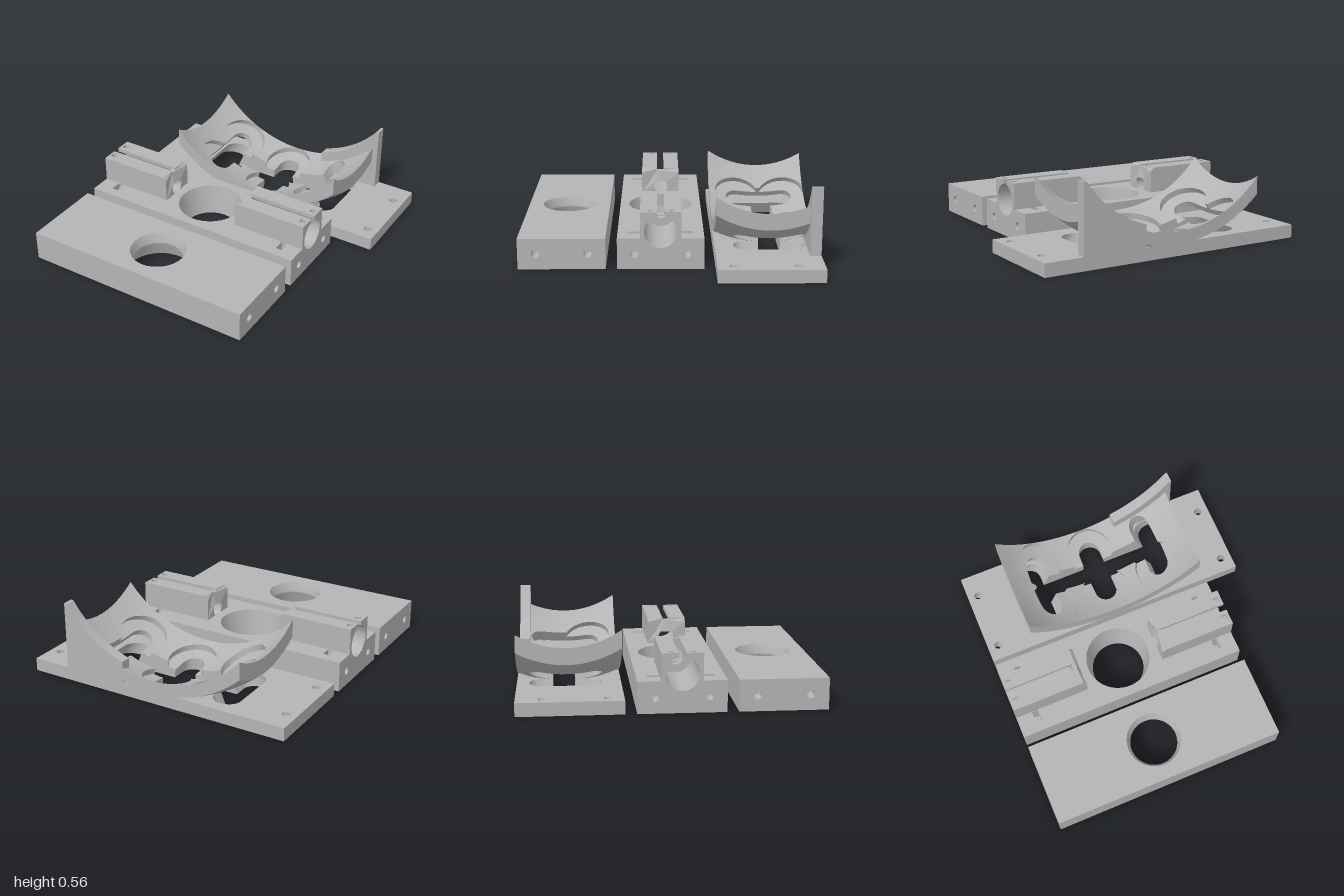
import * as THREE from 'three';
import { toCreasedNormals } from 'three/addons/utils/BufferGeometryUtils.js';

const grey = new THREE.MeshStandardMaterial({ color: 0xb4b4b4, side: THREE.DoubleSide });
grey.name = 'grey';

function add(parent, name, geometry) {
  const mesh = new THREE.Mesh(geometry, grey);
  mesh.name = name;
  parent.add(mesh);
  return mesh;
}

const round = (x, y, r) => new THREE.Path().absarc(x, y, r, 0, Math.PI * 2, true);

// Cross-section mirrored left to right, extruded along x from x0 to x1
function slice(half, x0, x1, holes = []) {
  const other = half.map(([x, y]) => [-x, y]).reverse();
  const points = half.concat(other).map(([x, y]) => new THREE.Vector2(x, y));
  const shape = new THREE.Shape(points);
  shape.holes = holes;
  const g = new THREE.ExtrudeGeometry(shape, { depth: x1 - x0, bevelEnabled: false, curveSegments: 20 });
  return g.rotateY(Math.PI / 2).translate(x0, 0, 0);
}

// Flat plate with an upright round hole that widens from one face to the other
const H = 0.21;
function boredPlate(hx, hz, rBottom, rTop) {
  const shape = new THREE.Shape([[-hx, -hz], [hx, -hz], [hx, hz], [-hx, hz]].map(p => new THREE.Vector2(...p)));
  shape.holes.push(round(0, 0, rTop));
  const g = new THREE.ExtrudeGeometry(shape, { depth: H, bevelEnabled: false, curveSegments: 48 }).rotateX(-Math.PI / 2);
  const p = g.attributes.position;
  for (let i = 0; i < p.count; i++) {
    const r = Math.hypot(p.getX(i), p.getZ(i));
    if (r < rTop + 0.01 && p.getY(i) < 0.01) p.setXYZ(i, p.getX(i) * rBottom / r, 0, p.getZ(i) * rBottom / r);
  }
  g.computeVertexNormals();
  return toCreasedNormals(g, 0.4);
}

const endHoles = z => [round(z, 0.105, 0.027), round(-z, 0.105, 0.027)];

function frontPlate() {
  const g = new THREE.Group();
  g.name = 'frontPlate';
  g.position.set(-0.14, 0, 0.71);
  const hz = 0.29;
  const plain = [[hz, 0], [hz, H]];
  const notched = [[0.13, 0], [0.13, 0.15], [0.215, 0.15], [0.215, 0], [hz, 0], [hz, H]];
  for (const turn of [0, Math.PI]) {
    const end = new THREE.Group();
    end.name = 'plateEnd';
    end.rotation.y = turn;
    add(end, 'screwEnd', slice(plain, 0.71, 0.825, endHoles(0.172)));
    add(end, 'nutSlots', slice(notched, 0.667, 0.71));
    g.add(end);
  }
  add(g, 'plateCentre', boredPlate(0.667, hz, 0.24, 0.19));
  // Stepped lining of the hole
  const lining = [[0.24, 0], [0.19, 0.14], [0.165, 0.14], [0.165, 0.15], [0.19, H]].map(p => new THREE.Vector2(...p));
  add(g, 'holeLining', toCreasedNormals(new THREE.LatheGeometry(lining, 64), 0.4));
  return g;
}

function railPlate() {
  const g = new THREE.Group();
  g.name = 'railPlate';
  g.position.set(-0.14, 0, 0.0575);
  const hz = 0.2875, axis = 0.255, top = 0.39, gap = 0.024;
  // Half of the section: plate, rail block, slot and round bore
  const half = ({ notch, screw, wall }) => {
    const p = [[hz, 0], [hz, H]];
    if (notch) p.push([0.2175, H], [0.2175, 0.06], [0.137, 0.06], [0.137, H]);
    p.push([0.135, H], [0.135, 0.365], [0.135, top]);
    if (screw) p.push([0.088, top], [0.088, 0.36], [0.052, 0.36], [0.052, top]);
    p.push([gap, top]);
    if (wall) return [...p, [gap, 0.378]];
    const a0 = Math.acos(gap / 0.11);
    for (let i = 0; i <= 20; i++) {
      const a = a0 - (a0 + Math.PI / 2 - 0.02) * i / 20;
      p.push([0.11 * Math.cos(a), axis + 0.11 * Math.sin(a)]);
    }
    return p;
  };
  const teardrop = new THREE.Path();
  teardrop.moveTo(0, axis + 0.076);
  teardrop.absarc(0, axis, 0.055, Math.PI * 0.75, Math.PI * 2.25, false);
  teardrop.closePath();
  const screws = () => endHoles(0.175);
  for (const turn of [0, Math.PI]) {
    const rail = new THREE.Group();
    rail.name = 'rail';
    rail.rotation.y = turn;
    add(rail, 'railEnd', slice(half({}), 0.808, 0.825, screws()));
    add(rail, 'railScrewPockets', slice(half({ screw: true }), 0.768, 0.808, screws()));
    add(rail, 'railNeck', slice(half({}), 0.71, 0.768, screws()));
    add(rail, 'railNutSlots', slice(half({ notch: true }), 0.667, 0.71));
    add(rail, 'railBody', slice(half({}), 0.34, 0.667));
    // Inner end wall, its top edge sloped back
    const wall = slice(half({ wall: true }), 0.2875, 0.34, [teardrop]);
    const p = wall.attributes.position;
    for (let i = 0; i < p.count; i++) if (p.getX(i) < 0.29 && p.getY(i) > 0.37) p.setX(i, 0.312);
    wall.computeVertexNormals();
    add(rail, 'railInnerWall', wall);
    g.add(rail);
  }
  add(g, 'plateCentre', boredPlate(0.2875, hz, 0.185, 0.225));
  return g;
}

// Solid sheet over u and z with rounded openings; place(u, z, w) gives the point, w = 1 on top
const Z0 = -1, Z1 = -0.305;
function sheet(uMax, holes, place) {
  const us = [];
  for (let i = 0; i <= 32; i++) us.push(uMax * (i / 16 - 1));
  for (const h of holes) for (let k = 0; k <= 12; k++) us.push(h.u + h.ru * Math.cos(Math.PI * k / 12));
  us.sort((a, b) => a - b);
  const cuts = us.filter((u, i) => Math.abs(u) <= uMax && (i === 0 || u - us[i - 1] > 1e-6));
  const out = [];
  const quad = (p, q, r, s) => out.push(...p, ...q, ...r, ...p, ...r, ...s);
  const span = (h, u) => {
    const e = h.rz * Math.sqrt(Math.max(0, 1 - ((u - h.u) / h.ru) ** 2));
    return [Math.max(Z0, h.lo - e), Math.min(Z1, h.hi + e)];
  };
  // One block between columns a and b, running from z = [a, b] s to e
  const block = (a, b, s, e) => {
    const n = Math.max(1, Math.ceil(Math.max(e[0] - s[0], e[1] - s[1]) / 0.06));
    const P = (side, i, w) => place(side ? b : a, s[side] + (e[side] - s[side]) * i / n, w);
    for (let i = 0; i < n; i++) {
      const j = i + 1;
      quad(P(0, i, 1), P(0, j, 1), P(1, j, 1), P(1, i, 1));
      quad(P(0, i, 0), P(1, i, 0), P(1, j, 0), P(0, j, 0));
      quad(P(0, i, 0), P(0, j, 0), P(0, j, 1), P(0, i, 1));
      quad(P(1, j, 0), P(1, i, 0), P(1, i, 1), P(1, j, 1));
    }
    quad(P(1, 0, 0), P(0, 0, 0), P(0, 0, 1), P(1, 0, 1));
    quad(P(0, n, 0), P(1, n, 0), P(1, n, 1), P(0, n, 1));
  };
  for (let i = 0; i + 1 < cuts.length; i++) {
    const a = cuts[i], b = cuts[i + 1], m = (a + b) / 2;
    const open = holes.filter(h => Math.abs(m - h.u) < h.ru)
      .map(h => ({ a: span(h, a), b: span(h, b), m: span(h, m) })).sort((p, q) => p.m[0] - q.m[0]);
    let s = [Z0, Z0], k = 0;
    while (k < open.length) {
      const lo = [open[k].a[0], open[k].b[0]], hi = [open[k].a[1], open[k].b[1]];
      let end = open[k++].m[1];
      for (; k < open.length && open[k].m[0] < end; k++) {
        const o = open[k];
        lo[0] = Math.min(lo[0], o.a[0]); lo[1] = Math.min(lo[1], o.b[0]);
        hi[0] = Math.max(hi[0], o.a[1]); hi[1] = Math.max(hi[1], o.b[1]);
        end = Math.max(end, o.m[1]);
      }
      if (lo[0] - s[0] + lo[1] - s[1] > 1e-4) block(a, b, s, lo);
      s = hi;
    }
    block(a, b, s, [Z1, Z1]);
  }
  const g = new THREE.BufferGeometry();
  g.setAttribute('position', new THREE.Float32BufferAttribute(out, 3));
  return toCreasedNormals(g, 0.4);
}

function cradle() {
  const g = new THREE.Group();
  g.name = 'cradle';
  const axis = 1.02, thick = 0.084, back = -0.835, front = -0.515, lean = 0.46;
  const radius = z => 0.923 - 0.078 * ((z + 0.67) / 0.365) ** 2;
  const circle = (u, z, ru, rz) => ({ u, ru, lo: z, hi: z, rz });
  const slots = [-lean, 0, lean].map(u => ({ u, ru: 0.083, lo: back, hi: front, rz: 0.083 }));
  slots.push({ u: 0, ru: lean, lo: -0.76, hi: -0.61, rz: 0 });
  const recesses = [[-lean, back], [0, back], [-lean, front], [0, front], [lean, front]]
    .map(([u, z]) => circle(u, z, 0.183, 0.165));

  // Base plate: openings aim at the cradle axis, outer parts run straight to the ends
  const screws = [-0.879, 0.879].flatMap(u => [-0.83, -0.41].map(z => circle(u, z, 0.033, 0.027)));
  add(g, 'cradleBase', sheet(0.965, [...slots, ...screws], (u, z, w) => {
    const a = Math.min(Math.abs(u), 0.6), t = (Math.abs(u) - a) / 0.365;
    const r = w ? Math.max((axis - 0.09) / Math.cos(a), radius(z) + thick) : axis / Math.cos(a);
    const x = r * Math.sin(a);
    return [Math.sign(u) * (x + (0.965 - x) * t), axis - r * Math.cos(a), z];
  }));

  // Curved saddle in two layers: the upper one also has the round recesses
  const layer = (inner, outer) => (u, z, w) => {
    const a = Math.min(Math.abs(u), 0.645), t = (Math.abs(u) - a) / (0.76 - 0.645);
    const r = radius(z) + (w ? inner : outer);
    const x = r * Math.sin(a) * (1 - t) + 0.65 * t;
    return [Math.sign(u) * x, axis - Math.sqrt(r * r - x * x), z];
  };
  add(g, 'saddleTop', sheet(0.76, [...slots, ...recesses], layer(0, 0.042)));
  add(g, 'saddleUnderside', sheet(0.76, slots, layer(0.042, thick)));

  // Upright stop at the back corner
  const stop = new THREE.Shape();
  stop.moveTo(0.235, 0.08);
  stop.lineTo(0.69, 0.08);
  stop.lineTo(0.69, 0.56);
  for (let i = 0; i <= 16; i++) {
    const x = 0.67 - 0.435 * i / 16;
    stop.lineTo(x, axis - Math.sqrt(0.815 ** 2 - x * x));
  }
  const wall = new THREE.ExtrudeGeometry(stop, { depth: 0.075, bevelEnabled: false });
  add(g, 'cornerStop', toCreasedNormals(wall.translate(0, 0, Z0), 0.4));
  return g;
}

export function createModel() {
  const model = new THREE.Group();
  model.name = 'clampPlates';
  model.add(frontPlate(), railPlate(), cradle());
  return model;
}
